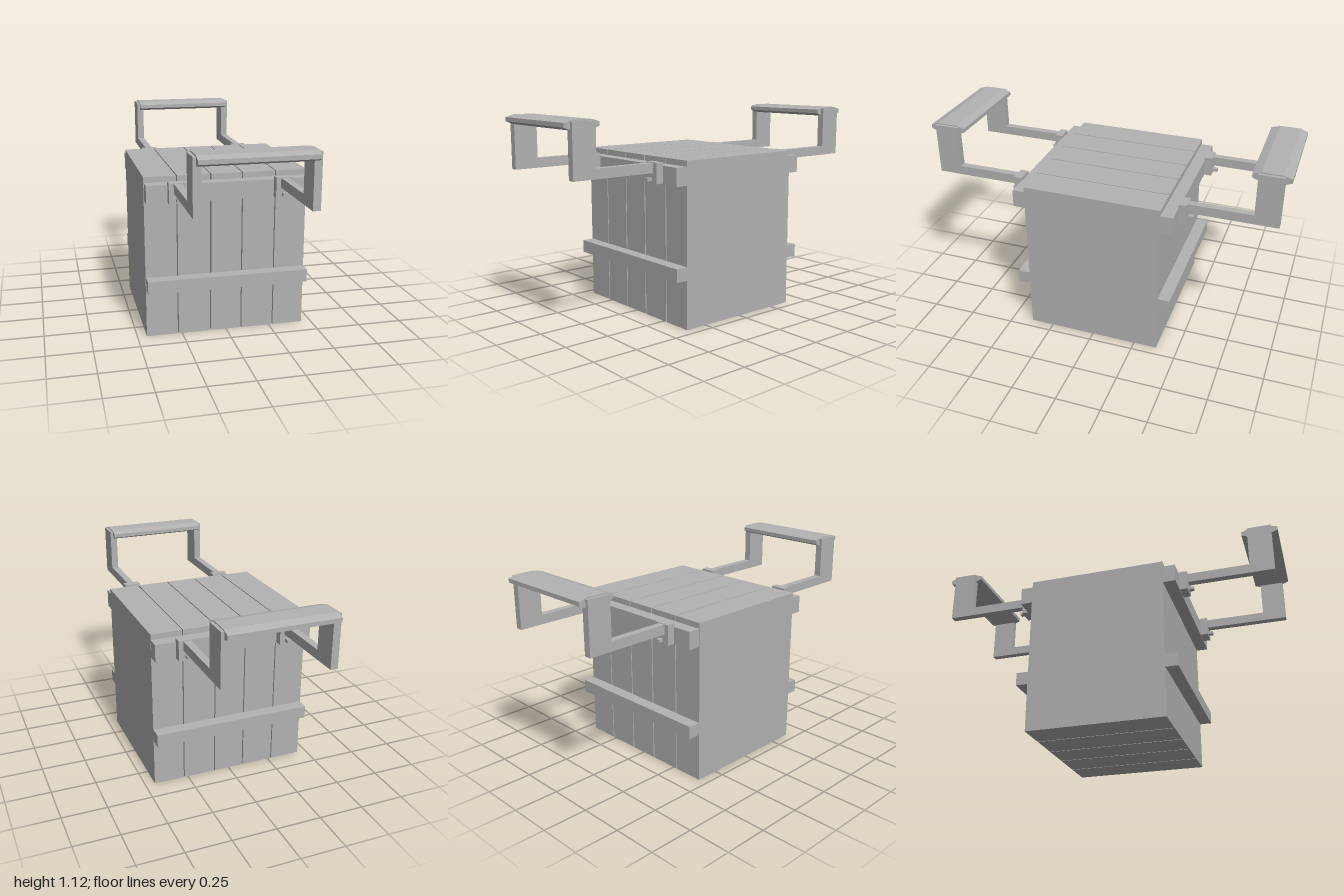
import * as THREE from 'three';

const grey = new THREE.MeshStandardMaterial({ color: 0xb2b2b2 });
grey.name = 'plain grey';

// Box given by its lower and upper corners
function box(name, [x0, y0, z0], [x1, y1, z1]) {
  const mesh = new THREE.Mesh(new THREE.BoxGeometry(x1 - x0, y1 - y0, z1 - z0), grey);
  mesh.position.set((x0 + x1) / 2, (y0 + y1) / 2, (z0 + z1) / 2);
  mesh.name = name;
  return mesh;
}

// Side profile in (z, y), extruded along x from x0 to x1
function profile(name, points, x0, x1) {
  const shape = new THREE.Shape(points.map(([z, y]) => new THREE.Vector2(-z, y)));
  const geometry = new THREE.ExtrudeGeometry(shape, { depth: x1 - x0, bevelEnabled: false });
  geometry.rotateY(Math.PI / 2);
  geometry.translate(x0, 0, 0);
  const mesh = new THREE.Mesh(geometry, grey);
  mesh.name = name;
  return mesh;
}

// Battens and carrying handle for the +z end
function createEnd(name) {
  const end = new THREE.Group();
  end.name = name;
  end.add(box('lowerBatten', [-0.445, 0.27, 0.38], [0.445, 0.342, 0.448]));
  end.add(box('upperBatten', [-0.445, 0.77, 0.38], [0.445, 0.867, 0.448]));

  for (const side of [-1, 1]) {
    const x = side * 0.287;
    end.add(box('mountingPlate', [x - 0.046, 0.775, 0.445], [x + 0.046, 0.885, 0.49]));
    const bolt = side * 0.284;
    end.add(box('bolt', [bolt - 0.012, 0.788, 0.48], [bolt + 0.012, 0.805, 0.518]));
    // L-shaped arm running out and then up to the grip
    end.add(profile('handleArm', [
      [0.485, 0.83], [0.965, 0.83], [0.965, 1.115],
      [0.833, 1.115], [0.833, 0.882], [0.485, 0.882],
    ], x - 0.02, x + 0.02));
  }

  // Grip with bevelled long edges
  end.add(profile('grip', [
    [0.8, 1.086], [0.8, 1.108], [0.845, 1.121], [0.955, 1.121],
    [1.0, 1.108], [1.0, 1.086], [0.96, 1.07], [0.84, 1.07],
  ], -0.29, 0.29));
  return end;
}

export function createModel() {
  const model = new THREE.Group();
  model.name = 'crate';

  // Five upright slabs with narrow gaps
  const gaps = [-0.451, -0.272, -0.088, 0.087, 0.271, 0.449];
  for (let i = 0; i < 5; i++) {
    model.add(box('plank', [gaps[i] + 0.003, 0, -0.38], [gaps[i + 1] - 0.003, 0.898, 0.38]));
  }

  const front = createEnd('frontEnd');
  const back = createEnd('backEnd');
  back.rotation.y = Math.PI;
  model.add(front, back);
  return model;
}
